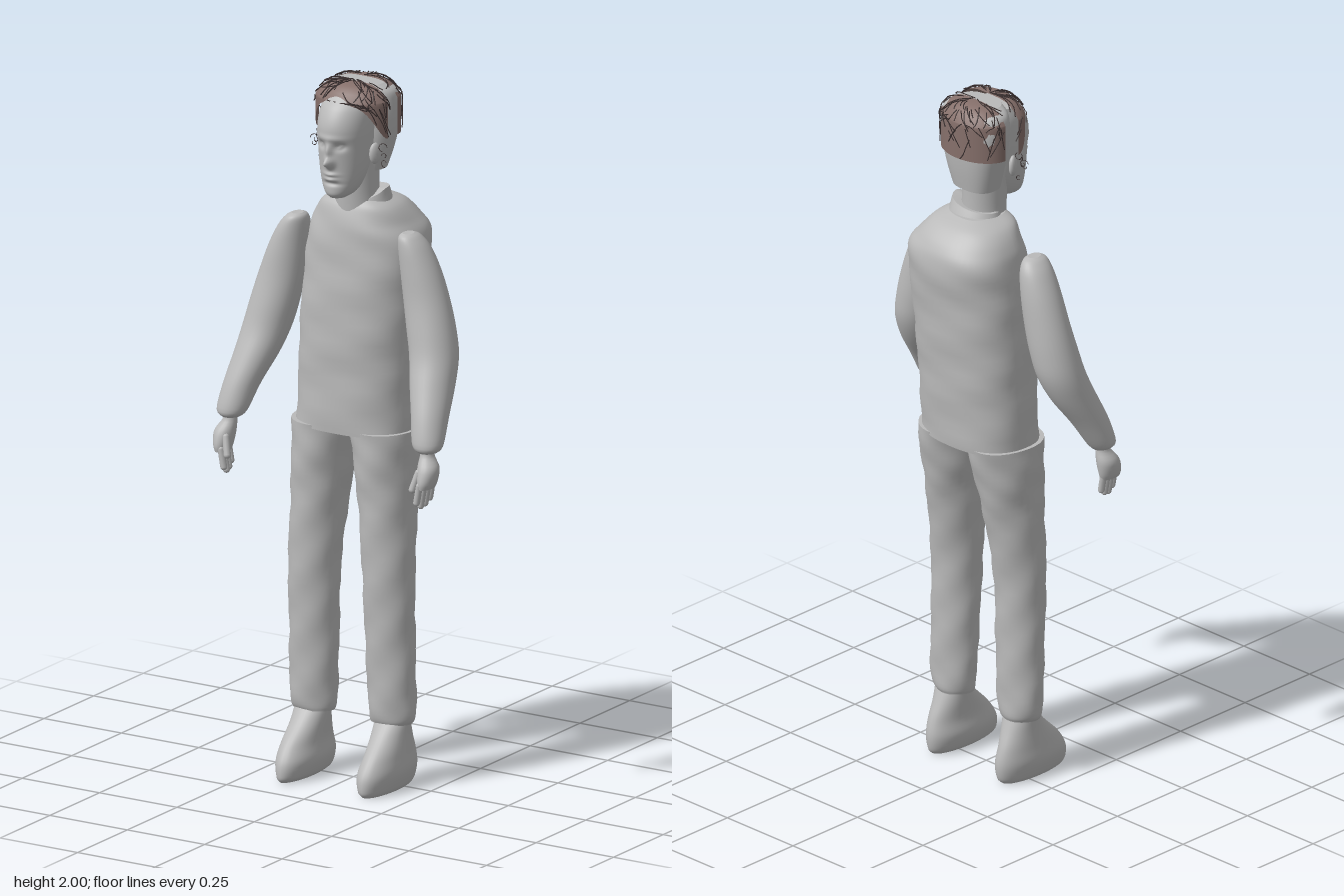
import * as THREE from 'three';
import { mergeGeometries } from 'three/addons/utils/BufferGeometryUtils.js';

const grey = new THREE.MeshStandardMaterial({ color: 0xbababa });
grey.name = 'plain grey';
const brown = new THREE.MeshStandardMaterial({ color: 0x86706b, side: THREE.DoubleSide });
brown.name = 'hair brown';
const dark = new THREE.MeshStandardMaterial({ color: 0x3a3030 });
dark.name = 'dark strands';

let seed = 7;
const rand = () => (seed = (seed * 16807) % 2147483647) / 2147483647;

// Smooth body through sections [y, xMin, xMax, zMin, zMax], listed from bottom to top
function loft(sections, { rings = 28, segs = 32, power = 2, rule } = {}) {
  const n = sections.length - 1, pos = [], idx = [];
  const sample = (t) => {
    const f = Math.min(t * n, n - 1e-6), i = Math.floor(f), u = f - i;
    const s = (k) => sections[Math.max(0, Math.min(n, k))];
    return s(i).map((b, c) => {
      const a = s(i - 1)[c], d = s(i + 1)[c], e = s(i + 2)[c];
      return b + 0.5 * u * (d - a + u * (2 * a - 5 * b + 4 * d - e + u * (3 * (b - d) + e - a)));
    });
  };
  const round = (v) => Math.sign(v) * Math.abs(v) ** (2 / power);
  for (let i = 0; i <= rings; i++) {
    const [y, x0, x1, z0, z1] = sample(i / rings);
    for (let j = 0; j < segs; j++) {
      const a = (j / segs) * Math.PI * 2;
      const p = new THREE.Vector3((x0 + x1) / 2 + (x1 - x0) / 2 * round(Math.cos(a)), y,
        (z0 + z1) / 2 + (z1 - z0) / 2 * round(Math.sin(a)));
      if (rule) rule(p, a);
      pos.push(p.x, p.y, p.z);
      if (i < rings) {
        const A = i * segs + j, B = i * segs + (j + 1) % segs;
        idx.push(A, A + segs, B, B, A + segs, B + segs);
      }
    }
  }
  // End caps on their own vertices, so the rims stay sharp
  for (const top of [false, true]) {
    const from = (top ? rings : 0) * segs, start = pos.length / 3, mid = [0, 0, 0];
    for (let j = 0; j < segs; j++) {
      for (let c = 0; c < 3; c++) {
        const v = pos[(from + j) * 3 + c];
        pos.push(v);
        mid[c] += v / segs;
      }
      const k = start + (j + 1) % segs;
      idx.push(start + segs, top ? k : start + j, top ? start + j : k);
    }
    pos.push(...mid);
  }
  const g = new THREE.BufferGeometry();
  g.setAttribute('position', new THREE.Float32BufferAttribute(pos, 3));
  g.setIndex(idx);
  g.computeVertexNormals();
  return g;
}

function add(parent, name, geometry, material = grey) {
  const m = new THREE.Mesh(geometry, material);
  m.name = name;
  parent.add(m);
  return m;
}

// Sections mirrored to the other side, with an optional shift
const flip = (list, side, dx = 0) =>
  list.map(([y, a, b, c, d]) => side > 0 ? [y, a + dx, b + dx, c, d] : [y, -b + dx, -a + dx, c, d]);

const tube = (points, r) => new THREE.TubeGeometry(new THREE.CatmullRomCurve3(points), 8, r, 4);

// Gentle cloth folds
const folds = (amount) => (p, a) => {
  const w = amount * (Math.sin(p.y * 38 + 3 * a) + Math.sin(p.y * 67 - 4 * a + 1));
  p.x += w * Math.cos(a);
  p.z += w * Math.sin(a);
};

// Facial relief: [x offset, y, width, height, depth]
const relief = [
  [0, 1.787, 0.012, 0.014, 0.03], [0, 1.82, 0.009, 0.02, 0.013],
  [-0.03, 1.833, 0.014, 0.01, -0.011], [0.03, 1.833, 0.014, 0.01, -0.011],
  [-0.03, 1.832, 0.006, 0.004, 0.006], [0.03, 1.832, 0.006, 0.004, 0.006],
  [0, 1.856, 0.045, 0.008, 0.004], [0, 1.752, 0.02, 0.005, 0.007],
  [0, 1.738, 0.017, 0.005, 0.007], [0, 1.725, 0.025, 0.006, -0.006],
];
function faceRule(p) {
  if (p.z < 0.07) return;
  for (const [x, y, w, h, d] of relief) {
    p.z += d * Math.exp(-(((p.x - 0.018 - x) / w) ** 2) - ((p.y - y) / h) ** 2);
  }
}

// Point on one half of the hair: side 1 is the fringe, -1 the back
function hairPoint(side, a, s, lift = 0) {
  const q = s < 0.5 ? Math.sin(s * Math.PI) : 1;
  const top = 1.993 - 0.045 * q ** 4;
  const edge = side > 0 ? 1.945 - 0.1 * Math.sin(a) ** 4 : 1.845;
  const y = s < 0.5 ? top : top + (edge - top) * (s - 0.5) * 2;
  return new THREE.Vector3(0.022 + (0.111 + lift) * Math.sin(a) * q, y + lift,
    (side > 0 ? 0.035 : -0.015) + side * (0.08 + lift) * Math.cos(a) * q);
}

function hairShell(side) {
  const g = new THREE.PlaneGeometry(1, 1, 28, 16), p = g.attributes.position;
  for (let i = 0; i < p.count; i++) {
    const v = hairPoint(side, p.getX(i) * Math.PI, 0.5 - p.getY(i));
    p.setXYZ(i, v.x, v.y, v.z);
  }
  g.computeVertexNormals();
  return g;
}

export function createModel() {
  const model = new THREE.Group();
  model.name = 'standingMan';

  // Shirt
  add(model, 'shirt', loft([
    [1.0, -0.175, 0.175, -0.145, 0.1], [1.15, -0.17, 0.177, -0.155, 0.1],
    [1.3, -0.165, 0.185, -0.165, 0.102], [1.45, -0.155, 0.195, -0.175, 0.096],
    [1.55, -0.145, 0.193, -0.184, 0.088], [1.6, -0.125, 0.165, -0.165, 0.08],
    [1.64, -0.095, 0.135, -0.125, 0.07], [1.66, -0.05, 0.1, -0.08, 0.055],
  ], { rings: 40, segs: 48, power: 2.35, rule: folds(0.0012) }));
  add(model, 'collar', loft([
    [1.62, -0.07, 0.115, -0.09, 0.072], [1.655, -0.055, 0.108, -0.075, 0.06],
    [1.68, -0.045, 0.105, -0.062, 0.05],
  ], { rule: (p) => { p.y += (p.x - 0.02) * 0.14 - Math.max(0, p.z) * 0.55; } }));

  // Trousers, shoes, arms and hands on both sides
  for (const side of [-1, 1]) {
    const tag = side > 0 ? 'left' : 'right';
    add(model, tag + 'TrouserLeg', loft(flip([
      [0.18, 0.065, 0.185, -0.045, 0.05], [0.22, 0.058, 0.196, -0.053, 0.058],
      [0.4, 0.052, 0.194, -0.056, 0.068], [0.6, 0.046, 0.193, -0.062, 0.08],
      [0.8, 0.03, 0.187, -0.095, 0.086], [0.92, 0.012, 0.188, -0.122, 0.092],
      [1.01, 0.0, 0.186, -0.136, 0.095],
    ], side), { rings: 40, rule: folds(0.0013) }));

    add(model, tag + 'Shoe', loft(flip([
      [0, 0.1, 0.168, -0.07, 0.155], [0.015, 0.085, 0.178, -0.084, 0.165],
      [0.055, 0.075, 0.188, -0.088, 0.16], [0.1, 0.082, 0.184, -0.078, 0.13],
      [0.15, 0.08, 0.18, -0.058, 0.08], [0.2, 0.078, 0.18, -0.038, 0.038],
    ], side)));

    const arm = new THREE.Group();
    arm.name = tag + 'Arm';
    arm.position.x = side > 0 ? 0.014 : -0.004;
    model.add(arm);
    add(arm, 'sleeve', loft(flip([
      [1.01, 0.282, 0.335, 0.1, 0.158], [1.03, 0.263, 0.35, 0.084, 0.168],
      [1.1, 0.243, 0.345, 0.04, 0.15], [1.18, 0.213, 0.336, -0.015, 0.118],
      [1.25, 0.192, 0.328, -0.046, 0.09], [1.32, 0.174, 0.313, -0.055, 0.075],
      [1.4, 0.158, 0.29, -0.056, 0.062], [1.48, 0.147, 0.26, -0.054, 0.057],
      [1.54, 0.142, 0.228, -0.046, 0.053], [1.57, 0.145, 0.202, -0.03, 0.046],
      [1.58, 0.155, 0.185, -0.01, 0.03],
    ], side), { rings: 44 }));
    add(arm, 'palm', loft(flip([
      [0.915, 0.302, 0.337, 0.118, 0.184], [0.935, 0.296, 0.345, 0.112, 0.186],
      [0.97, 0.29, 0.348, 0.108, 0.176], [1.0, 0.29, 0.33, 0.112, 0.155],
      [1.02, 0.292, 0.33, 0.112, 0.152],
    ], side), { rings: 14, segs: 20 }));
    for (let f = 0; f < 4; f++) {
      const z = 0.125 + f * 0.017, len = [0.045, 0.058, 0.062, 0.05][f];
      const finger = add(arm, 'finger', new THREE.CapsuleGeometry(0.0095, len, 4, 10));
      finger.position.set(side * (0.316 - f * 0.003), 0.925 - len / 2, z);
      finger.rotation.z = side * -0.18;
    }
    const thumb = add(arm, 'thumb', new THREE.CapsuleGeometry(0.01, 0.05, 4, 10));
    thumb.position.set(side * 0.296, 0.935, 0.172);
    thumb.rotation.set(-0.25, 0, side * -0.25);
  }

  // Head
  const head = new THREE.Group();
  head.name = 'head';
  model.add(head);
  add(head, 'neck', loft([
    [1.6, -0.045, 0.088, -0.055, 0.07], [1.68, -0.04, 0.08, -0.05, 0.075],
    [1.78, -0.042, 0.08, -0.05, 0.08],
  ]));
  add(head, 'face', loft([
    [1.682, -0.005, 0.041, 0.075, 0.132], [1.695, -0.022, 0.058, 0.04, 0.142],
    [1.72, -0.036, 0.072, 0.02, 0.144], [1.76, -0.047, 0.083, 0.0, 0.146],
    [1.82, -0.053, 0.09, -0.02, 0.152], [1.88, -0.055, 0.093, -0.03, 0.157],
    [1.93, -0.052, 0.09, -0.03, 0.138], [1.965, -0.04, 0.078, -0.02, 0.105],
  ], { rings: 90, segs: 96, rule: faceRule }));
  add(head, 'backOfHead', loft([
    [1.74, -0.048, 0.088, -0.068, 0.036], [1.8, -0.064, 0.108, -0.078, 0.042],
    [1.86, -0.078, 0.122, -0.084, 0.045], [1.92, -0.085, 0.128, -0.085, 0.045],
    [1.965, -0.078, 0.122, -0.075, 0.043], [1.985, -0.045, 0.09, -0.05, 0.04],
  ], { power: 2.5 }));
  for (const side of [-1, 1]) {
    const ear = add(head, 'ear', new THREE.SphereGeometry(0.03, 16, 12));
    ear.scale.set(0.35, 1, 0.6);
    ear.position.set(0.02 + side * 0.078, 1.8, 0.045);
    ear.rotation.y = side * -0.4;
  }

  // Hair halves with loose strands laid over them
  const strands = [];
  for (const side of [1, -1]) {
    add(head, side > 0 ? 'frontHair' : 'backHair', hairShell(side), brown);
    for (let i = 0; i < 55; i++) {
      const a = (rand() - 0.5) * 3, s = rand() * 0.7, turn = (rand() - 0.5) * 1.1, run = 0.1 + rand() * 0.3;
      strands.push(tube([0, 1, 2, 3].map((k) =>
        hairPoint(side, a + turn * k / 3, Math.min(1, s + run * k / 3), 0.002 + 0.003 * rand())), 0.0016));
    }
  }
  // Fine curls beside the ears
  for (let i = 0; i < 9; i++) {
    const side = i < 6 ? -1 : 1;
    const curl = new THREE.TorusGeometry(0.006 + rand() * 0.006, 0.0009, 4, 12, 4.5);
    curl.rotateZ(rand() * 6);
    curl.rotateY(rand() - 0.5);
    curl.translate(0.02 + side * (0.095 + rand() * 0.025), 1.77 + rand() * 0.08, 0.04 + rand() * 0.02);
    strands.push(curl);
  }
  add(head, 'hairStrands', mergeGeometries(strands), dark);

  return model;
}
